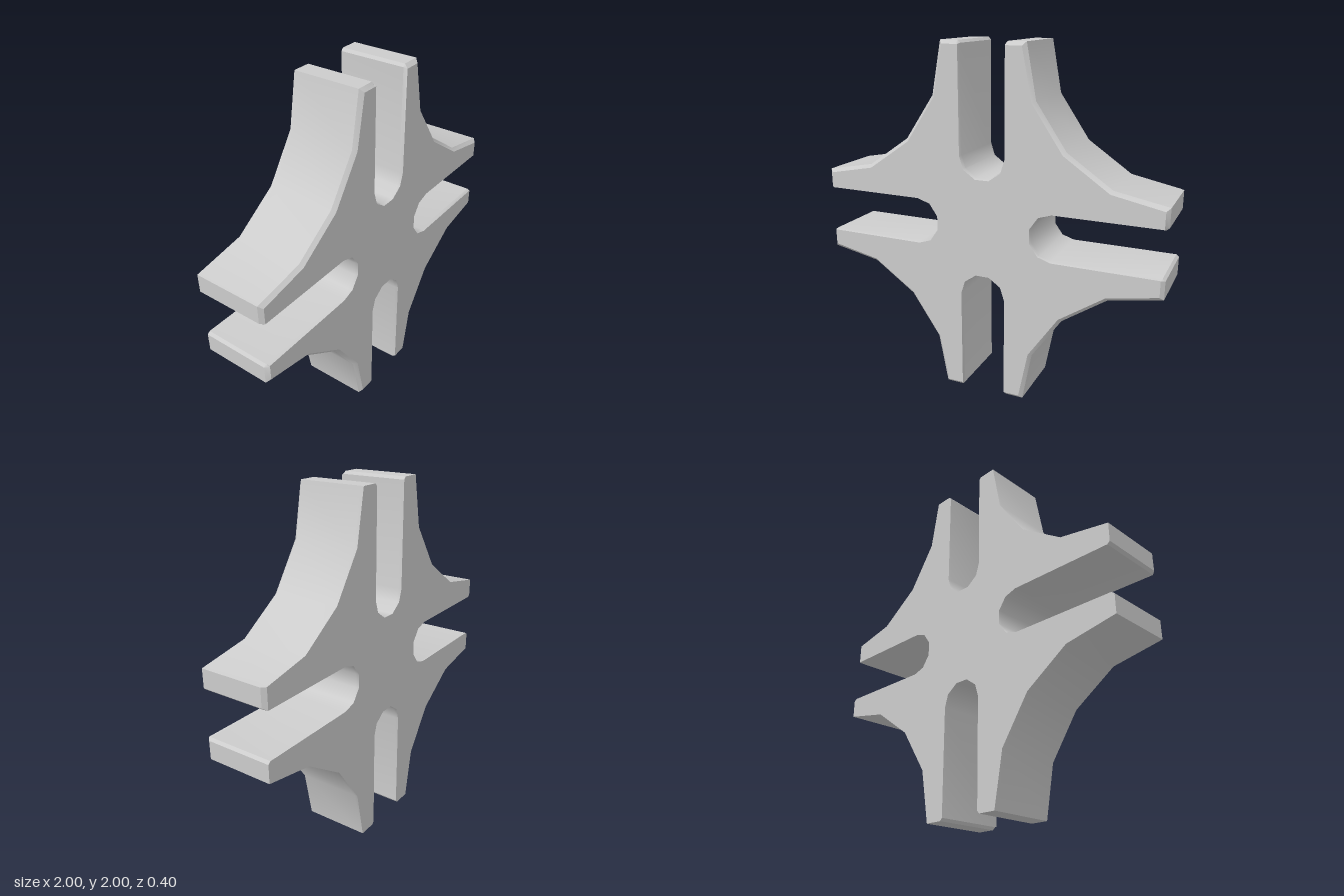
import * as THREE from 'three';
import { toCreasedNormals } from 'three/addons/utils/BufferGeometryUtils.js';

// Half of one quadrant, from slot floor to arm tip to the diagonal
const wallHalf = [[0.04, 0.283], [0.105, 0.33], [0.127, 0.4], [0.127, 0.985],
  [0.14, 1], [0.242, 1], [0.296, 0.712], [0.465, 0.465]];
// The same points pulled in for the bevelled front face
const faceHalf = [[0.04, 0.277], [0.109, 0.325], [0.133, 0.4], [0.133, 0.98],
  [0.14, 0.98], [0.224, 0.98], [0.279, 0.703], [0.451, 0.451]];

// Mirror over the diagonal, then repeat by quarter turns (counter-clockwise)
function outline(half) {
  const quadrant = [...half.map(([x, y]) => [y, x]), ...half.slice(0, -1).reverse()];
  const points = [];
  for (let q = 0; q < 4; q++) {
    for (const [px, py] of quadrant) {
      let [x, y] = [px, py];
      for (let i = 0; i < q; i++) [x, y] = [-y, x];
      points.push(new THREE.Vector2(x, y));
    }
  }
  return points;
}

export function createModel() {
  const group = new THREE.Group();
  group.name = 'slottedCross';

  const wall = outline(wallHalf);
  const face = outline(faceHalf);
  // One arm tip is also bevelled at the back
  const back = wall.map((p) => new THREE.Vector2(p.y > 0 ? Math.min(p.x, 0.98) : p.x, p.y));
  const rings = [[back, -0.2], [wall, -0.18], [wall, 0.18], [face, 0.2]];

  const n = wall.length;
  const positions = [];
  const index = [];
  for (const [ring, z] of rings) {
    for (const p of ring) positions.push(p.x, p.y + 1, z);
  }

  // Side walls and bevels
  for (let r = 0; r < rings.length - 1; r++) {
    for (let i = 0; i < n; i++) {
      const a = r * n + i;
      const b = r * n + (i + 1) % n;
      index.push(a, b, b + n, a, b + n, a + n);
    }
  }

  // Back and front faces
  for (const [a, b, c] of THREE.ShapeUtils.triangulateShape(back, [])) index.push(a, c, b);
  const top = (rings.length - 1) * n;
  for (const [a, b, c] of THREE.ShapeUtils.triangulateShape(face, [])) {
    index.push(top + a, top + b, top + c);
  }

  const geometry = new THREE.BufferGeometry();
  geometry.setAttribute('position', new THREE.Float32BufferAttribute(positions, 3));
  geometry.setIndex(index);

  const body = new THREE.Mesh(
    toCreasedNormals(geometry, 0.7),
    new THREE.MeshStandardMaterial({ color: 0xcccccc })
  );
  body.name = 'crossBody';
  group.add(body);
  return group;
}
